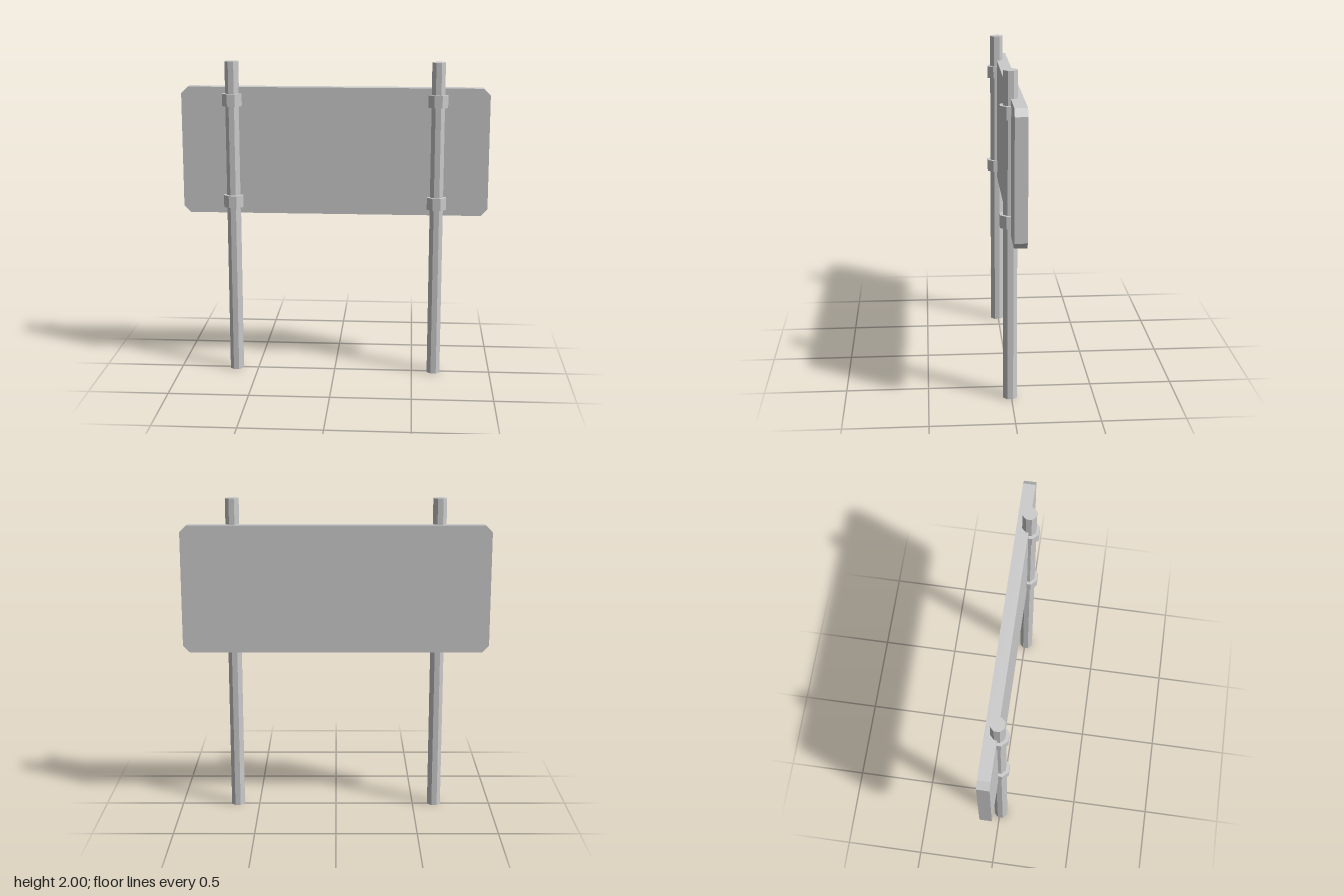
import * as THREE from 'three';

const grey = new THREE.MeshStandardMaterial({ color: 0xcccccc, flatShading: true });

// Upright octagonal prism with flats facing the axes; apothem is the half-width across flats
function octagon(name, apothem, height, x, y, z) {
  const r = apothem / Math.cos(Math.PI / 8);
  const geometry = new THREE.CylinderGeometry(r, r, height, 8, 1, false, Math.PI / 8);
  const mesh = new THREE.Mesh(geometry, grey);
  mesh.name = name;
  mesh.position.set(x, y, z);
  return mesh;
}

export function createModel() {
  const group = new THREE.Group();
  group.name = 'signboard';

  // Panel with clipped corners
  const w = 0.96, h = 0.4, c = 0.042, depth = 0.075;
  const outline = new THREE.Shape([
    [w - c, -h], [w, -h + c], [w, h - c], [w - c, h],
    [-w + c, h], [-w, h - c], [-w, -h + c], [-w + c, -h],
  ].map(([x, y]) => new THREE.Vector2(x, y)));
  const panel = new THREE.Mesh(
    new THREE.ExtrudeGeometry(outline, { depth, bevelEnabled: false }), grey);
  panel.name = 'panel';
  panel.position.set(0, 1.44, -0.068);
  group.add(panel);

  // Two posts, each clamped to the panel at two heights
  const postZ = 0.008;
  for (const [side, x] of [['left', 0.64], ['right', -0.64]]) {
    group.add(octagon(`${side}Post`, 0.041, 2, x, 1, postZ));
    for (const [level, y] of [['Upper', 1.762], ['Lower', 1.12]]) {
      group.add(octagon(`${side}${level}Clamp`, 0.06, 0.077, x, y, postZ));
    }
  }
  return group;
}
